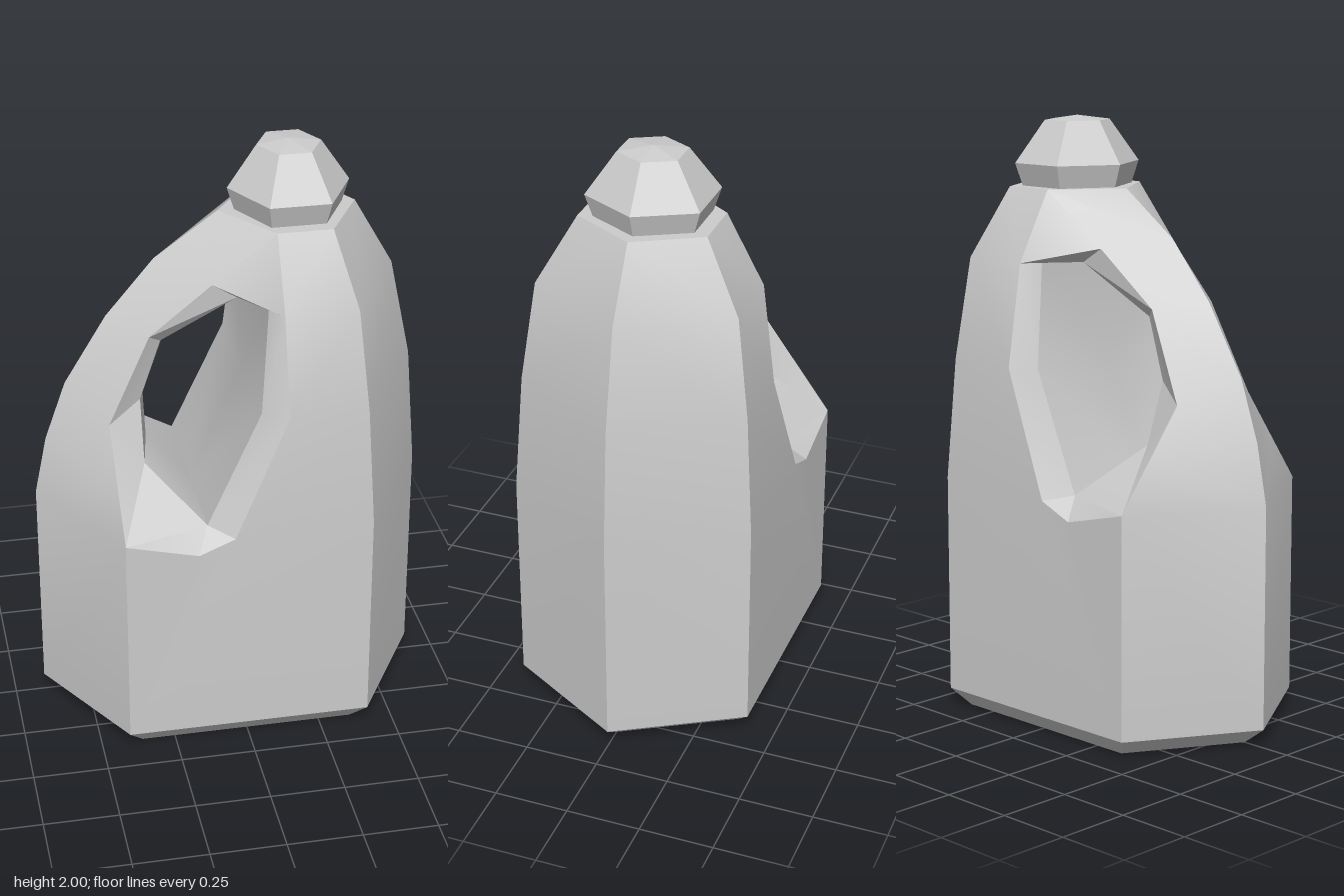
import * as THREE from 'three';
import { toCreasedNormals } from 'three/addons/utils/BufferGeometryUtils.js';

function buildBody() {
  const pos = [];
  // One triangle plus its mirror image across z = 0
  const tri = (a, b, c) => {
    const ab = new THREE.Vector3(...b).sub(new THREE.Vector3(...a));
    const ac = new THREE.Vector3(...c).sub(new THREE.Vector3(...a));
    if (ab.cross(ac).length() < 1e-7) return;
    pos.push(...a, ...b, ...c);
    for (const p of [a, c, b]) pos.push(p[0], p[1], -p[2]);
  };
  const fan = (...p) => {
    for (let i = 1; i < p.length - 1; i++) tri(p[0], p[i], p[i + 1]);
  };
  const strip = (a, b) => {
    for (let i = 0; i < a.length - 1; i++) fan(a[i], b[i], b[i + 1], a[i + 1]);
  };

  // Upright edges of the hexagonal body, bottom to top
  const spine = [[0.57, 0, 0], [0.65, 0.06, 0], [0.65, 0.8, 0], [0.62, 1.2, 0], [0.55, 1.54, 0], [0.42, 1.77, 0]];
  const corner = [[0.36, 0, 0.36], [0.41, 0.06, 0.41], [0.41, 0.8, 0.41], [0.39, 1.2, 0.385], [0.36, 1.54, 0.34], [0.3, 1.77, 0.215]];
  const handleCorner = [[-0.36, 0, 0.36], [-0.41, 0.06, 0.41], [-0.41, 0.8, 0.41]];
  const handleSpine = [[-0.57, 0, 0], [-0.65, 0.06, 0], [-0.65, 0.8, 0]];
  const gripEdge = [[-0.05, 0.79, 0.41], [0.13, 1.2, 0.385], [0.12, 1.54, 0.34], [0.12, 1.77, 0.215]];

  // Handle: outer ridge, side crease, and rim of the hole
  const ridge = [handleSpine[2], [-0.61, 1, 0], [-0.54, 1.2, 0], [-0.4, 1.43, 0], [-0.24, 1.62, 0], [-0.03, 1.77, 0]];
  const crease = [handleCorner[2], [-0.415, 0.96, 0.29], [-0.42, 1.12, 0.17], [-0.28, 1.41, 0.14], [-0.08, 1.59, 0.17], gripEdge[3]];
  const rim = [[-0.13, 0.81, 0.34], [-0.31, 0.98, 0.19], [-0.31, 1.18, 0.12], [-0.24, 1.38, 0.11], [0, 1.54, 0.17],
    [0.08, 1.54, 0.28], [0.05, 1.2, 0.33], [-0.13, 0.81, 0.34]];
  const midX = [-0.13, -0.275, -0.285, -0.2, 0, 0.08, 0.05, -0.13];
  const mid = rim.map((p, i) => [midX[i], p[1], 0]);
  const dip = [-0.17, 0.74, 0.41];

  // Side walls, base and shoulder
  strip(corner, spine);
  strip(gripEdge, corner.slice(2));
  strip(handleSpine, handleCorner);
  fan(handleCorner[0], corner[0], corner[1], handleCorner[1]);
  fan(handleCorner[1], corner[1], corner[2], gripEdge[0], dip, handleCorner[2]);
  fan(handleSpine[0], spine[0], corner[0], handleCorner[0]);
  fan(ridge[5], crease[5], corner[5], spine[5]);

  // Handle outside and the recess leading into the hole
  strip(ridge, crease);
  const [k0, , k2, k3, k4] = crease;
  strip([k0, k2, k2, k3, k4, k4], rim.slice(0, 6));
  fan(k4, rim[5], gripEdge[2], gripEdge[3]);
  fan(rim[0], handleCorner[2], dip, gripEdge[0]);
  strip([rim[0], rim[6], rim[5]], gripEdge.slice(0, 3));

  // Wall of the hole
  strip(rim, mid);

  const g = new THREE.BufferGeometry();
  g.setAttribute('position', new THREE.Float32BufferAttribute(pos, 3));
  return toCreasedNormals(g, 0.45);
}

export function createModel() {
  const group = new THREE.Group();
  group.name = 'jug';

  const body = new THREE.Mesh(buildBody(), new THREE.MeshStandardMaterial({ color: 0xcccccc }));
  body.name = 'bodyWithHandle';
  group.add(body);

  // Six-sided screw cap
  const profile = [[0, 1.765], [0.175, 1.765], [0.2, 1.845], [0.105, 1.985], [0, 2]]
    .map(([r, y]) => new THREE.Vector2(r, y));
  const capGeometry = new THREE.LatheGeometry(profile, 6).rotateY(Math.PI / 2).scale(1, 1, 1.1);
  const cap = new THREE.Mesh(capGeometry, new THREE.MeshStandardMaterial({ color: 0xcccccc, flatShading: true }));
  cap.name = 'cap';
  cap.position.x = 0.2;
  group.add(cap);

  return group;
}
